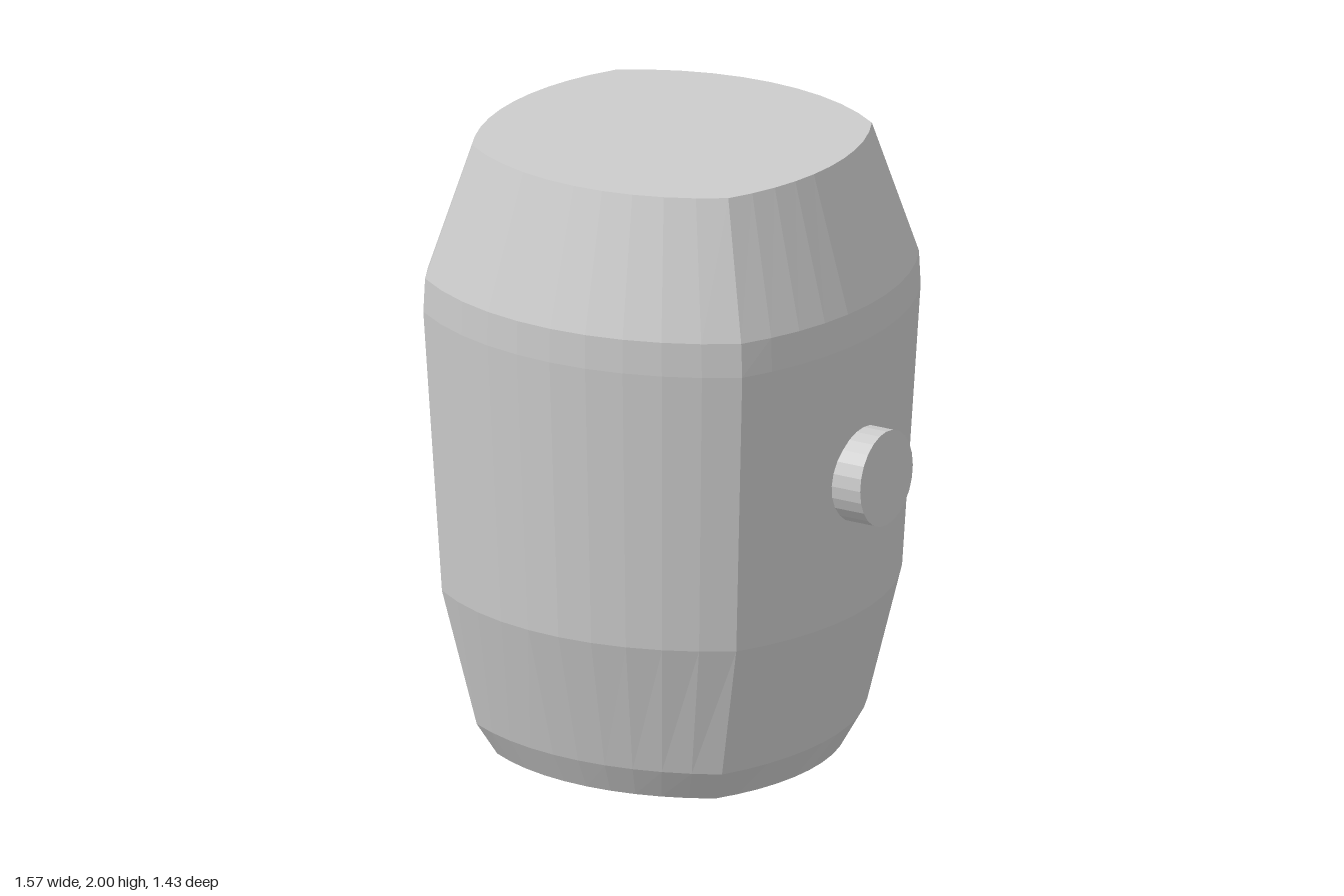
import * as THREE from 'three';

const SEG = 10; // facets per side of the body

// Point on a circular arc over a chord from -c to c at height h, with its apex at e.
function arc(c, h, e, t) {
  const s = e - h;
  const r = (c * c + s * s) / (2 * s);
  const a = Math.asin(c / r) * t;
  return [r * Math.sin(a), e - r + r * Math.cos(a)];
}

// Closed four-arc outline: ex, ez are side extents, cx, cz the corner.
function squircle(y, ex, ez, cx, cz) {
  const pts = [];
  for (let side = 0; side < 4; side++) {
    for (let i = 0; i < SEG; i++) {
      const t = -1 + (2 * i) / SEG;
      const [u, v] = side % 2 === 0 ? arc(cx, cz, ez, t) : arc(cz, cx, ex, t);
      const [x, z] = [[u, v], [v, -u], [-u, -v], [-v, u]][side];
      pts.push(new THREE.Vector3(x, y, z));
    }
  }
  return pts;
}

// Skin a stack of loops; the first and last loop close onto the axis.
function loft(loops) {
  const pos = [];
  const tri = (...v) => v.forEach((p) => pos.push(p.x, p.y, p.z));
  const n = loops[0].length;
  const first = loops[0], last = loops[loops.length - 1];
  const c0 = new THREE.Vector3(0, first[0].y, 0);
  const c1 = new THREE.Vector3(0, last[0].y, 0);
  for (let i = 0; i < n; i++) {
    const j = (i + 1) % n;
    tri(c0, first[j], first[i]);
    for (let k = 0; k < loops.length - 1; k++) {
      const a = loops[k], b = loops[k + 1];
      tri(a[i], a[j], b[j]);
      tri(a[i], b[j], b[i]);
    }
    tri(c1, last[i], last[j]);
  }
  const g = new THREE.BufferGeometry();
  g.setAttribute('position', new THREE.Float32BufferAttribute(pos, 3));
  g.computeVertexNormals();
  return g;
}

export function createModel() {
  const model = new THREE.Group();
  model.name = 'barrel';
  const mat = new THREE.MeshStandardMaterial({ color: 0xcccccc, flatShading: true });

  // Body outlines, bottom to top: y, ex, ez, cx, cz
  const outer = [
    [0, 0.505, 0.5, 0.4, 0.385],
    [0.1, 0.555, 0.55, 0.45, 0.425],
    [0.54, 0.67, 0.665, 0.54, 0.485],
    [1.46, 0.72, 0.717, 0.585, 0.522],
    [1.57, 0.72, 0.715, 0.58, 0.52],
    [2, 0.58, 0.577, 0.47, 0.42],
  ].map((row) => squircle(...row));

  // Round recess in the underside
  const recess = (y) => outer[0].map((p) => p.clone().setLength(0.45).setY(y));
  const body = new THREE.Mesh(loft([recess(0.095), recess(0), ...outer]), mat);
  body.name = 'body';
  model.add(body);

  // Short round pegs on both sides
  for (const side of [-1, 1]) {
    const peg = new THREE.Mesh(new THREE.CylinderGeometry(0.154, 0.154, 0.19, 24), mat);
    peg.name = side > 0 ? 'leftPeg' : 'rightPeg';
    peg.rotation.z = Math.PI / 2;
    peg.position.set(side * 0.692, 1.012, 0);
    model.add(peg);
  }
  return model;
}
